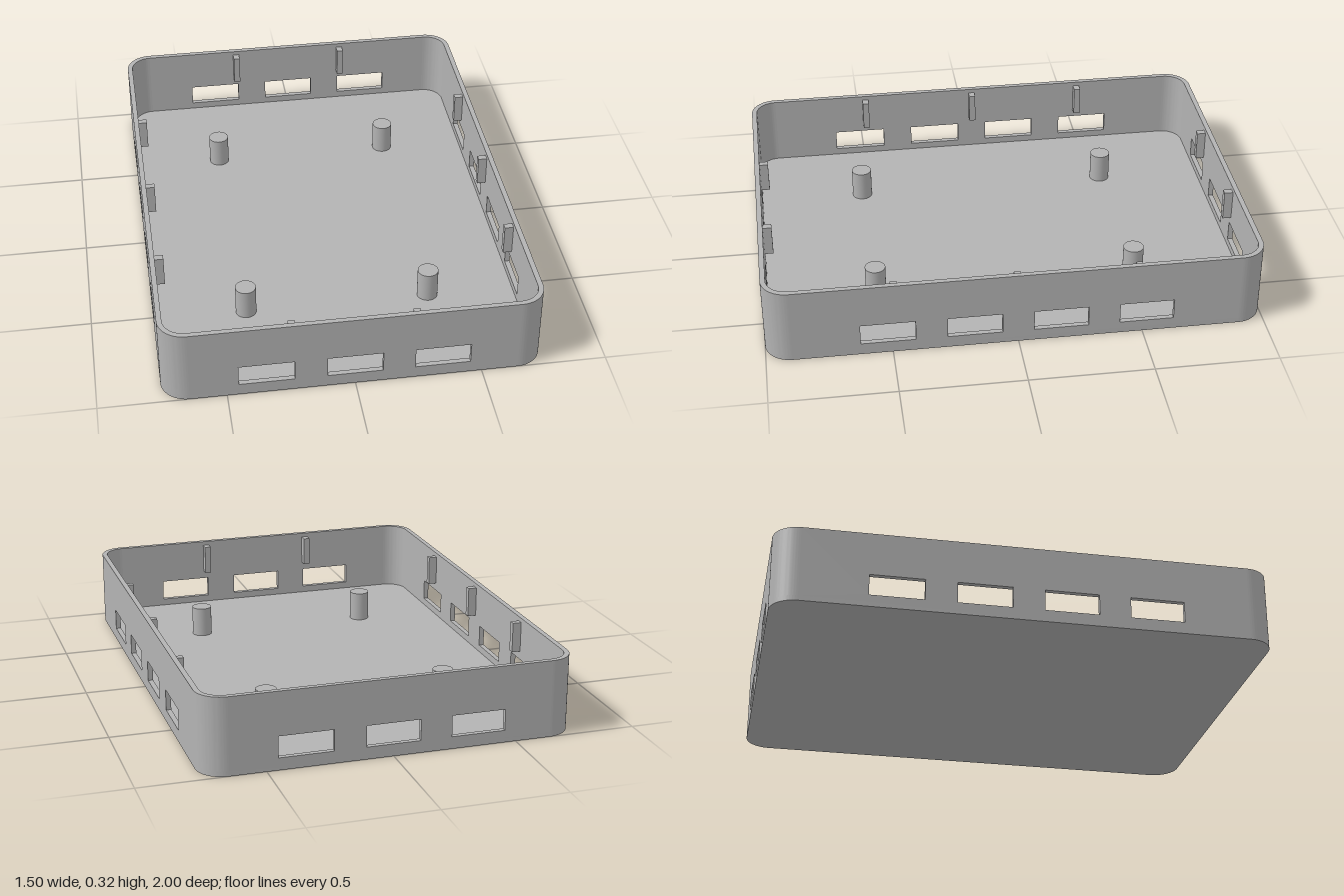
import * as THREE from 'three';
import { toCreasedNormals } from 'three/addons/utils/BufferGeometryUtils.js';

const W = 0.75, L = 1, H = 0.316;          // half width, half length, height
const T = 0.021, R = 0.105;                // wall and floor thickness, corner radius
const WIN_W = 0.218, WIN_Y0 = 0.05, WIN_Y1 = 0.137, PITCH = 0.345;

const plastic = new THREE.MeshStandardMaterial({ color: 0xb3b3b3 });
plastic.name = 'grey plastic';

function add(parent, name, geometry, x = 0, y = 0, z = 0) {
  const mesh = new THREE.Mesh(geometry, plastic);
  mesh.name = name;
  mesh.position.set(x, y, z);
  parent.add(mesh);
  return mesh;
}

const extrude = (shape, depth) => toCreasedNormals(
  new THREE.ExtrudeGeometry(shape, { depth, bevelEnabled: false, curveSegments: 16 }), 0.5);

// Flat slab lying on the ground plane, extruded upwards
const slab = (shape, height) => extrude(shape, height).rotateX(-Math.PI / 2);

function floorShape() {
  const s = new THREE.Shape();
  s.absarc(W - R, L - R, R, 0, Math.PI / 2);
  s.absarc(-W + R, L - R, R, Math.PI / 2, Math.PI);
  s.absarc(-W + R, -L + R, R, Math.PI, Math.PI * 1.5);
  s.absarc(W - R, -L + R, R, Math.PI * 1.5, Math.PI * 2);
  s.closePath();
  return s;
}

// Straight wall panel with a row of rectangular openings, outer face at z = T
function wallGeometry(half, count) {
  const s = new THREE.Shape();
  s.moveTo(-half, T).lineTo(half, T).lineTo(half, H).lineTo(-half, H).closePath();
  for (let i = 0; i < count; i++) {
    const c = (i - (count - 1) / 2) * PITCH, a = c - WIN_W / 2, b = c + WIN_W / 2;
    const hole = new THREE.Path();
    hole.moveTo(a, WIN_Y0).lineTo(a, WIN_Y1).lineTo(b, WIN_Y1).lineTo(b, WIN_Y0).closePath();
    s.holes.push(hole);
  }
  return extrude(s, T);
}

// Quarter ring joining two walls
function cornerShape() {
  const s = new THREE.Shape();
  s.absarc(0, 0, R, 0, Math.PI / 2, false);
  s.absarc(0, 0, R - T, Math.PI / 2, 0, true);
  s.closePath();
  return s;
}

export function createModel() {
  const model = new THREE.Group();
  model.name = 'openTray';

  add(model, 'floor', slab(floorShape(), T));

  // Walls: front, left, back, right, each with ribs on its inner face
  const ribGeometry = new THREE.BoxGeometry(0.027, 0.126, 0.036);
  const sides = [
    { name: 'front', half: W - R, out: L, count: 3, ribs: [-0.243, 0.243] },
    { name: 'left', half: L - R, out: W, count: 4, ribs: [-0.487, 0, 0.487] },
    { name: 'back', half: W - R, out: L, count: 3, ribs: [-0.243, 0.243] },
    { name: 'right', half: L - R, out: W, count: 4, ribs: [-0.487, 0, 0.487] },
  ];
  sides.forEach(({ name, half, out, count, ribs }, i) => {
    const side = new THREE.Group();
    side.name = name + 'Side';
    side.rotation.y = i * Math.PI / 2;
    add(side, name + 'Wall', wallGeometry(half, count), 0, 0, out - T);
    for (const x of ribs) add(side, name + 'Rib', ribGeometry, x, 0.235, out - T - 0.018);
    model.add(side);
  });

  // Rounded corners
  const corner = slab(cornerShape(), H - T);
  [[1, -1], [-1, -1], [-1, 1], [1, 1]].forEach(([sx, sz], i) => {
    add(model, 'corner', corner, sx * (W - R), T, sz * (L - R)).rotation.y = i * Math.PI / 2;
  });

  // Mounting posts
  const post = new THREE.CylinderGeometry(0.042, 0.042, 0.126, 32);
  for (const x of [-0.374, 0.374])
    for (const z of [-0.537, 0.537]) add(model, 'post', post, x, T + 0.063, z);

  return model;
}
